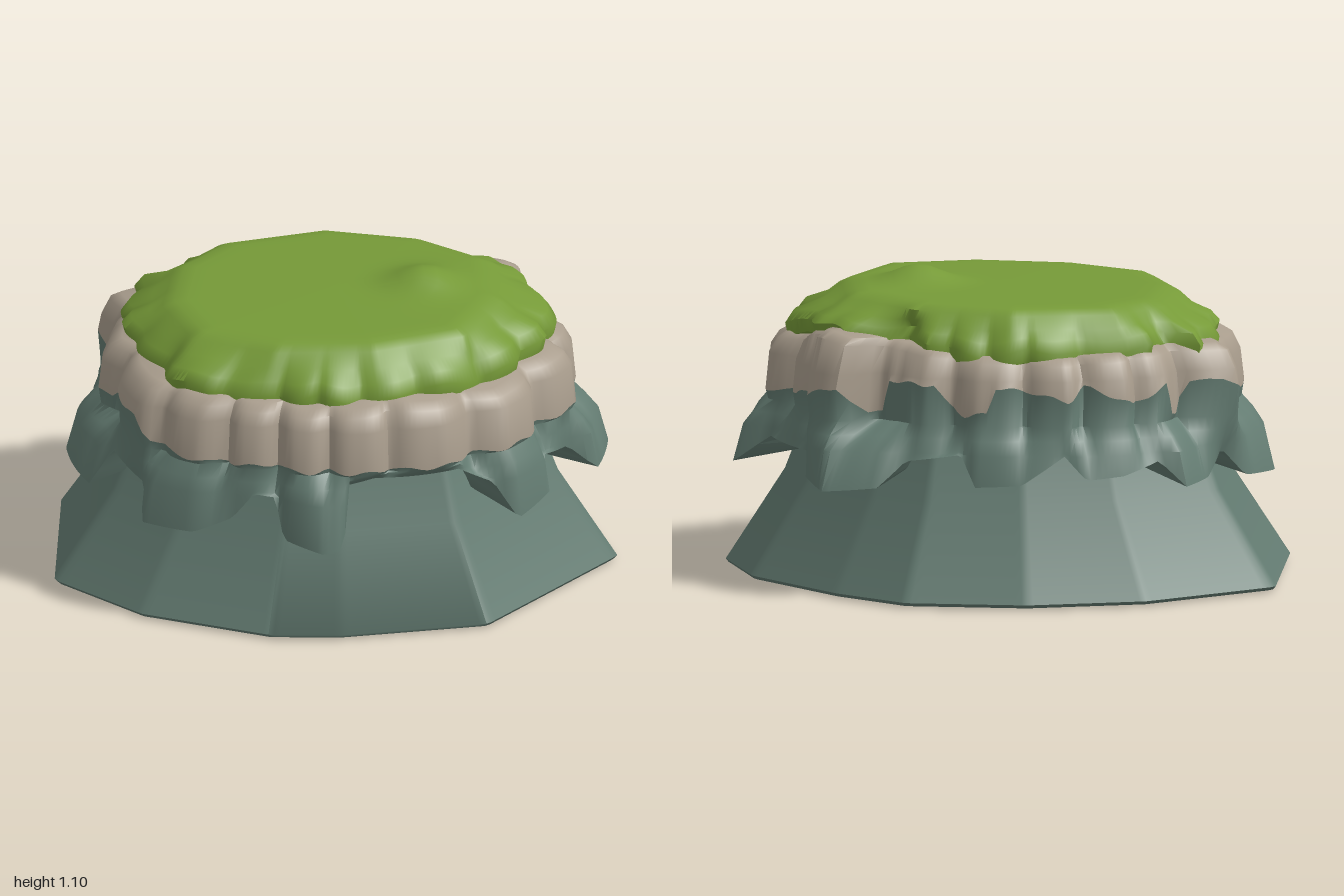
import * as THREE from 'three';
import { toCreasedNormals } from 'three/addons/utils/BufferGeometryUtils.js';

const N = 240;
const lerp = THREE.MathUtils.lerp;

// Radius at an angle of a star-shaped outline of [x, z] corners, ordered from +x towards +z
function outline(pts) {
  const cross = (a, b) => a[0] * b[1] - a[1] * b[0];
  return (t) => {
    const d = [Math.cos(t), Math.sin(t)];
    for (let i = 0; i < pts.length; i++) {
      const p = pts[i], q = pts[(i + 1) % pts.length];
      if (cross(p, d) >= -1e-9 && cross(d, q) >= -1e-9) {
        return cross(p, q) / cross(d, [q[0] - p[0], q[1] - p[1]]);
      }
    }
    return 0.7;
  };
}

// Interpolates rows of [degrees, value, value...] around the full circle
function around(rows, column) {
  const first = rows[0], last = rows[rows.length - 1];
  const all = [[last[0] - 360, ...last.slice(1)], ...rows, [first[0] + 360, ...first.slice(1)]];
  return (t) => {
    const deg = (t * 180) / Math.PI;
    const i = Math.max(1, all.findIndex((r) => r[0] >= deg));
    const a = all[i - 1], b = all[i];
    return lerp(a[column], b[column], (deg - a[0]) / (b[0] - a[0]));
  };
}

// Skins closed rings from bottom to top; each ring maps an angle to [radius, y]
function loft(rings, crease, shapeY = (x, y) => y) {
  const pos = [], index = [];
  rings.forEach((ring) => {
    for (let j = 0; j < N; j++) {
      const t = (j / N) * Math.PI * 2;
      const [r, y] = ring(t);
      const x = r * Math.cos(t), z = r * Math.sin(t);
      pos.push(x, shapeY(x, y, z), z);
    }
  });
  for (let i = 0; i < rings.length - 1; i++) {
    for (let j = 0; j < N; j++) {
      const k = (j + 1) % N;
      const a = i * N + j, b = i * N + k, c = a + N, d = b + N;
      index.push(a, c, b, b, c, d);
    }
  }
  const g = new THREE.BufferGeometry();
  g.setAttribute('position', new THREE.Float32BufferAttribute(pos, 3));
  g.setIndex(index);
  return toCreasedNormals(g, crease);
}

export function createModel() {
  const group = new THREE.Group();
  const material = (name, color) => new THREE.MeshStandardMaterial({ name, color });
  const rock = material('grey green rock', 0x647c72);
  const stone = material('tan stone', 0xa99d8d);
  const grass = material('grass green', 0x769a38);
  const add = (name, geometry, mat) => {
    const mesh = new THREE.Mesh(geometry, mat);
    mesh.name = name;
    group.add(mesh);
  };

  // Flared foot, narrowing to a neck under the ledges
  const foot = outline([
    [1, -0.05], [0.62, 0.55], [0.12, 0.71], [-0.13, 0.74], [-0.6, 0.63], [-0.94, 0.4],
    [-1, -0.25], [-0.6, -0.6], [-0.2, -0.75], [0.23, -0.78], [0.5, -0.64], [0.85, -0.36],
  ]);
  add('rockFoot', loft([
    () => [0, 0],
    (t) => [foot(t) * 0.99, 0.008],
    (t) => [foot(t), 0.02],
    (t) => [foot(t) * 0.79, 0.35],
    (t) => [foot(t) * 0.68, 0.64],
  ], 1), rock);

  // Cliff outline: angular boulders parted by uneven grooves
  const cliffOutline = outline([
    [0.87, 0], [0.76, 0.25], [0.67, 0.4], [0.47, 0.57], [0.28, 0.66], [0.07, 0.7],
    [-0.1, 0.68], [-0.4, 0.65], [-0.62, 0.57], [-0.74, 0.35], [-0.82, 0.2], [-0.81, 0.04],
    [-0.87, -0.2], [-0.66, -0.35], [-0.57, -0.49], [-0.32, -0.59], [0, -0.63], [0.2, -0.61],
    [0.3, -0.55], [0.42, -0.55], [0.51, -0.61], [0.64, -0.52], [0.7, -0.34], [0.83, -0.2],
  ]);
  const cliff = (t) => {
    const groove = 1 - Math.abs(Math.sin(t * 9 + 0.9 * Math.sin(t * 3 + 1)));
    return cliffOutline(t) * (1 - 0.07 * groove ** 1.5);
  };

  // Height where the dark rock gives way to tan stone
  const seamBase = around([
    [0, 0.64], [40, 0.635], [75, 0.64], [88, 0.635], [105, 0.645], [118, 0.635], [136, 0.66],
    [141, 0.74], [158, 0.75], [162, 0.68], [185, 0.66], [196, 0.76], [203, 0.75], [205, 0.65],
    [209, 0.65], [211, 0.76], [222, 0.7], [235, 0.77], [241, 0.72], [252, 0.75], [264, 0.77],
    [267, 0.68], [274, 0.66], [281, 0.7], [285, 0.77], [302, 0.77], [304, 0.65], [308, 0.65],
    [310, 0.75], [320, 0.71], [335, 0.68],
  ], 1);
  const seam = (t) => seamBase(t) + 0.007 * Math.sin(t * 31);

  // Hanging blocks: degrees, reach, underside height
  const reachTable = [
    [2, 0.94, 0.4], [5, 0.84, 0.5], [16, 0.8, 0.53], [18, 0.84, 0.41], [31, 0.83, 0.38],
    [35, 0.76, 0.52], [45, 0.72, 0.6], [70, 0.66, 0.6], [78, 0.68, 0.59], [80, 0.75, 0.37],
    [85, 0.775, 0.36], [97, 0.71, 0.38], [100, 0.69, 0.53], [106, 0.71, 0.54], [112, 0.73, 0.44],
    [121, 0.8, 0.38], [134, 0.87, 0.38], [137, 0.82, 0.5], [152, 0.83, 0.54], [156, 0.9, 0.39],
    [176, 0.945, 0.38], [190, 0.89, 0.4], [194, 0.82, 0.5], [203, 0.84, 0.42], [213, 0.86, 0.41],
    [217, 0.78, 0.5], [228, 0.77, 0.46], [238, 0.74, 0.45], [243, 0.68, 0.53], [256, 0.68, 0.43],
    [270, 0.67, 0.42], [275, 0.64, 0.53], [292, 0.68, 0.5], [297, 0.77, 0.41], [309, 0.87, 0.39],
    [318, 0.84, 0.42], [322, 0.8, 0.5], [344, 0.84, 0.5], [347, 0.97, 0.4],
  ];
  const reach = around(reachTable, 1), under = around(reachTable, 2);
  add('rockLedges', loft([
    (t) => [foot(t) * 0.66, under(t) + 0.06],
    (t) => [reach(t), under(t)],
    (t) => [lerp(reach(t), cliff(t), 0.3), Math.max(0.53, under(t) + 0.01)],
    (t) => [lerp(reach(t), cliff(t), 0.65), Math.max(0.58, under(t) + 0.02)],
    (t) => [cliff(t) * 0.99, 0.625],
    (t) => [cliff(t), seam(t)],
  ], 0.8), rock);

  // Tan cliff band, closing inwards beneath the turf
  const crown = around([
    [0, 0.855], [30, 0.84], [60, 0.87], [90, 0.85], [120, 0.86], [150, 0.87], [180, 0.87],
    [210, 0.88], [240, 0.86], [275, 0.87], [305, 0.9], [318, 0.93], [328, 0.92], [338, 0.87],
  ], 1);
  add('cliffBand', loft([
    (t) => [cliff(t), seam(t)],
    (t) => [cliff(t) * 0.985, 0.79],
    (t) => [cliff(t) * 0.95, crown(t) - 0.02],
    (t) => [cliff(t) * 0.9, crown(t) + 0.005],
    (t) => [cliff(t) * 0.7, crown(t) + 0.01],
  ], 0.8), stone);

  // Turf cap with a drooping, scalloped edge and a small mound
  const turf = outline([
    [0.78, -0.08], [0.76, 0.05], [0.69, 0.2], [0.62, 0.31], [0.44, 0.47], [0.3, 0.54],
    [0.05, 0.61], [-0.2, 0.58], [-0.38, 0.59], [-0.54, 0.5], [-0.58, 0.41], [-0.71, 0.21],
    [-0.77, 0], [-0.74, -0.26], [-0.61, -0.26], [-0.6, -0.39], [-0.4, -0.47], [-0.2, -0.57],
    [0, -0.59], [0.2, -0.55], [0.29, -0.47], [0.5, -0.49], [0.63, -0.4], [0.65, -0.29], [0.76, -0.23],
  ]);
  const edge = (t) => turf(t) * (1 - 0.045 * (1 - Math.abs(Math.sin(t * 10 + 0.5 + 0.7 * Math.sin(t * 4)))));
  const lift = around([[0, 0], [90, -0.01], [150, 0.02], [200, 0.02], [270, 0], [300, 0.03], [318, 0.06], [340, 0.03]], 1);
  const droop = (t) => lift(t) + 0.016 * Math.sin(t * 9) + 0.01 * Math.sin(t * 17 + 1);
  const plateau = outline([
    [0.6, 0], [0.5, 0.3], [0.2, 0.45], [-0.15, 0.49], [-0.45, 0.4], [-0.59, 0.15],
    [-0.59, -0.15], [-0.45, -0.36], [-0.1, -0.5], [0.25, -0.46], [0.52, -0.31],
  ]);
  const mound = (x, y, z) => y + 0.02 * x
    + 0.06 * Math.exp(-((x - 0.31) ** 2 + (z + 0.06) ** 2) / 0.013);
  const rings = [
    (t) => [edge(t) * 0.82, 0.81 + lift(t)],
    (t) => [edge(t) * 0.985, 0.825 + droop(t)],
    (t) => [edge(t), 0.88 + droop(t) * 0.8],
    (t) => [edge(t) * 0.96, 0.925 + droop(t) * 0.5],
    (t) => [lerp(edge(t), plateau(t), 0.65), 0.96 + droop(t) * 0.25],
    (t) => [plateau(t), 1.005],
    (t) => [plateau(t) * 0.93, 1.025],
  ];
  for (let i = 1; i <= 12; i++) {
    const k = 1 - i / 12;
    rings.push((t) => [plateau(t) * 0.93 * k, 1.038 - 0.01 * k]);
  }
  add('turfCap', loft(rings, 0.9, mound), grass);

  return group;
}
